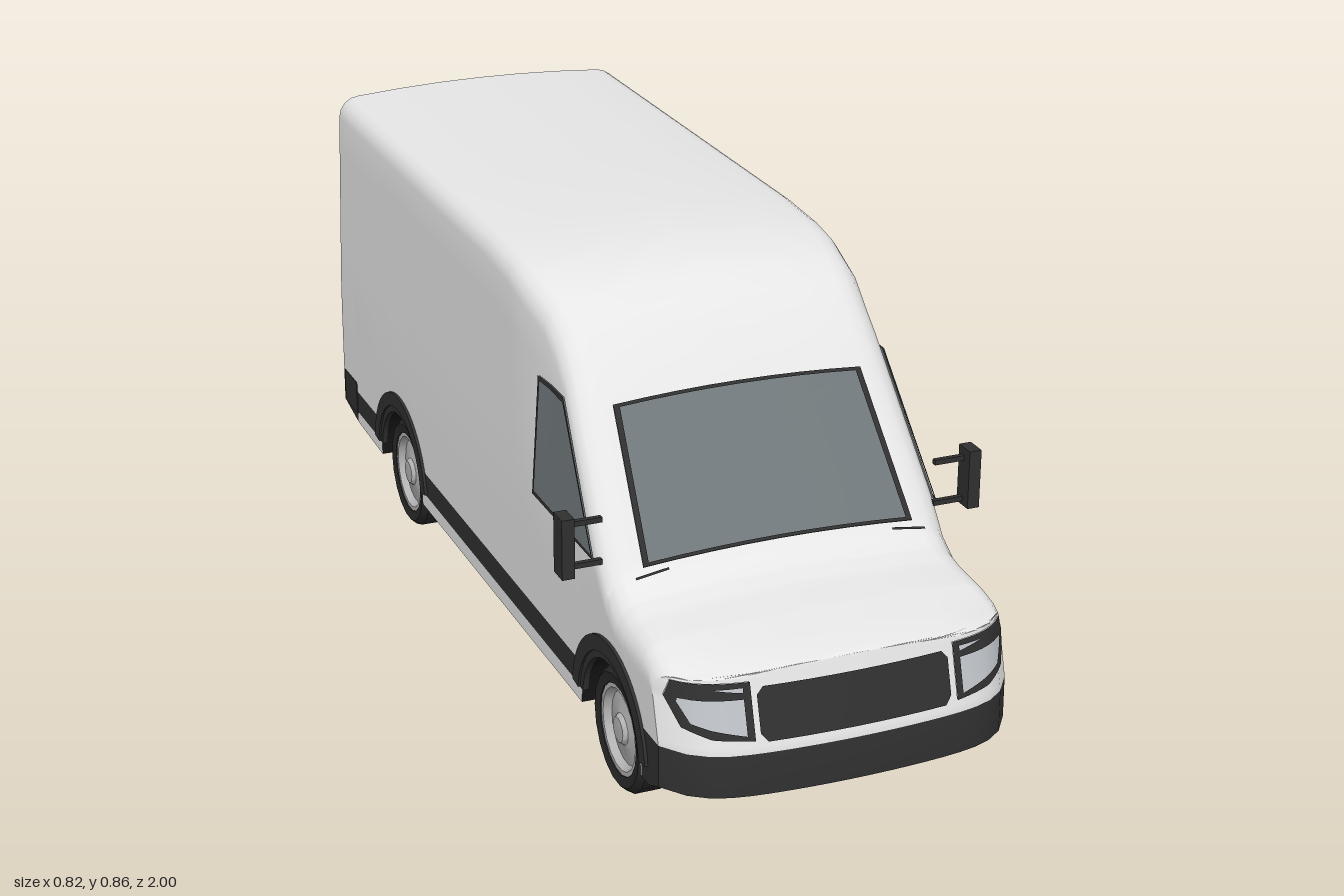
import * as THREE from 'three';
import { toCreasedNormals } from 'three/addons/utils/BufferGeometryUtils.js';

const mat = (name, color, double = true) => {
  const m = new THREE.MeshStandardMaterial({ color });
  m.name = name;
  if (double) m.side = THREE.DoubleSide;
  return m;
};

const clamp = (v) => Math.min(1, Math.max(0, v));
const ramp = (a, b, v) => clamp((v - a) / (b - a));
const lerp = (a, b, t) => a + (b - a) * t;

// Side profile of bonnet, windscreen and roof: [z, y]
const PROFILE = [[-0.985, 0.857], [0, 0.855], [0.13, 0.848], [0.2, 0.838], [0.3, 0.814], [0.345, 0.785],
  [0.4, 0.735], [0.655, 0.425], [0.7, 0.394], [0.74, 0.383], [0.95, 0.355], [1, 0.345]];
const topY = (z) => {
  const i = Math.min(PROFILE.length - 1, Math.max(1, PROFILE.findIndex((p) => p[0] >= z)));
  const [a, b] = [PROFILE[i - 1], PROFILE[i]];
  return lerp(a[1], b[1], ramp(a[0], b[0], z));
};

const CROWN = 0.012, WHEEL_R = 0.118, ARCH_R = 0.142, AXLES = [0.675, -0.555];
const cornerR = (z) => (z > 0.655 ? lerp(0.06, 0.03, ramp(0.655, 0.95, z)) : lerp(0.045, 0.06, ramp(0.1, 0.35, z)));
const halfWidth = (y, z) => 0.336 - 0.012 * ramp(0.4, 0.85, y) - 0.014 * ramp(0.2, 0.35, z) * ramp(0.42, 0.66, y);
const floorY = (z) => 0.105 + 0.02 * ramp(0.9, 1, z) + 0.025 * ramp(-0.85, -0.985, z);
const openingY = (z) => {
  for (const c of AXLES) {
    const d = Math.abs(z - c);
    if (d < ARCH_R + 0.0001) return WHEEL_R + Math.sqrt(Math.max(0, ARCH_R ** 2 - d * d));
  }
  return floorY(z);
};

// Rounds the nose in plan, leans it back, and leans the rear face
function bend(x, y, z) {
  const q = (x / 0.336) ** 2;
  const nose = ramp(0.82, 1, z) * (0.03 * q + 0.07 * q ** 4 + 0.3 * Math.max(0, y - 0.2));
  return new THREE.Vector3(x, y, z - nose + ramp(-0.9, -0.985, z) * 0.018 * y);
}

// Half cross-section, from floor centre around the side to roof centre
function section(z) {
  const fl = floorY(z), yb = openingY(z), r = cornerR(z), yt = topY(z);
  const bumper = z > 0.826 || z < -0.881;
  const low = Math.max(yb, bumper ? fl : 0.135), high = Math.max(yb, bumper ? 0.205 : 0.185);
  const shoulder = yt - CROWN - r, w = halfWidth(shoulder, z);
  const pts = [[0, fl], [0.235, fl], [0.235, yb]];
  for (const y of [yb, low]) pts.push([0.336, y]);
  for (let k = 0; k <= 8; k++) {
    const y = lerp(high, shoulder, k / 8);
    pts.push([halfWidth(y, z), y]);
  }
  for (let k = 1; k <= 4; k++) {
    const a = (k / 4) * Math.PI / 2;
    pts.push([w - r + r * Math.cos(a), shoulder + r * Math.sin(a)]);
  }
  for (const f of [0.66, 0.33, 0]) pts.push([(w - r) * f, yt - CROWN * f * f]);
  return pts;
}

function bodyGeometry() {
  const zs = [...PROFILE.map((p) => p[0]), -0.9, -0.882, -0.88, -0.3, 0.35, 0.46, 0.53, 0.6, 0.825, 0.827, 0.86, 0.9, 0.98];
  for (const c of AXLES) {
    for (let k = 0; k <= 14; k++) zs.push(c + ARCH_R * Math.cos((k / 14) * Math.PI));
    zs.push(c - ARCH_R - 0.001, c + ARCH_R + 0.001);
  }
  zs.sort((a, b) => a - b);
  const parts = [[], [], []]; // paint, trim, floor
  const group = (j) => (j < 3 ? 2 : j === 4 ? 1 : 0);
  const tri = (g, a, b, c) => {
    const area = b.clone().sub(a).cross(c.clone().sub(a)).length();
    if (area > 1e-9) for (const p of [a, b, c]) parts[g].push(p.x, p.y, p.z);
  };
  const quad = (g, a, b, c, d) => { tri(g, a, b, d); tri(g, b, c, d); };
  const rows = zs.map(section);
  for (let i = 0; i < zs.length - 1; i++) {
    for (let j = 0; j < rows[0].length - 1; j++) {
      for (const s of [1, -1]) {
        const at = (m, n) => bend(s * rows[m][n][0], rows[m][n][1], zs[m]);
        const [a, b, c, d] = [at(i, j), at(i, j + 1), at(i + 1, j + 1), at(i + 1, j)];
        if (s > 0) quad(group(j), a, b, c, d); else quad(group(j), a, d, c, b);
      }
    }
  }
  // Front and rear closing faces
  for (const e of [0, zs.length - 1]) {
    for (let j = 3; j < rows[e].length - 1; j++) {
      for (let k = 0; k < 20; k++) {
        const at = (n, t) => bend(rows[e][n][0] * (t / 10 - 1), rows[e][n][1], zs[e]);
        const [a, b, c, d] = [at(j, k), at(j, k + 1), at(j + 1, k + 1), at(j + 1, k)];
        if (e) quad(group(j), a, b, c, d); else quad(group(j), a, d, c, b);
      }
    }
  }
  const geo = new THREE.BufferGeometry();
  geo.setAttribute('position', new THREE.Float32BufferAttribute(parts.flat(), 3));
  let start = 0;
  parts.forEach((p, i) => { geo.addGroup(start, p.length / 3, i); start += p.length / 3; });
  return toCreasedNormals(geo, 0.6);
}

// Thin patch between four 2D corners, laid on a surface function
function patch(surf, a, b, c, d, n = 8) {
  const pos = [], idx = [];
  for (let i = 0; i <= n; i++) for (let j = 0; j <= n; j++) {
    const u = i / n, v = j / n;
    const p = [0, 1].map((k) => lerp(lerp(a[k], b[k], u), lerp(d[k], c[k], u), v));
    pos.push(...surf(p[0], p[1]).toArray());
    if (i < n && j < n) {
      const q = i * (n + 1) + j;
      idx.push(q, q + n + 1, q + 1, q + 1, q + n + 1, q + n + 2);
    }
  }
  const geo = new THREE.BufferGeometry();
  geo.setAttribute('position', new THREE.Float32BufferAttribute(pos, 3));
  geo.setIndex(idx);
  geo.computeVertexNormals();
  return geo;
}

export function createModel() {
  const van = new THREE.Group();
  van.name = 'van';
  const paint = mat('white paint', 0xe6e6e6, false), trim = mat('dark trim', 0x303030), under = mat('underside', 0x161616);
  const glass = mat('glass', 0x70787b), lens = mat('lamp lens', 0xbfc3c8), red = mat('red lamp', 0x8c1c1c);
  const rubber = mat('tyre rubber', 0x292929), metal = mat('wheel metal', 0xb4b4b4);
  const add = (name, geo, m, x = 0, y = 0, z = 0, parent = van) => {
    const mesh = new THREE.Mesh(geo, m);
    mesh.name = name;
    mesh.position.set(x, y, z);
    parent.add(mesh);
    return mesh;
  };
  const pane = (name, surf, pts, m, border = 0) => {
    const c = [0, 1].map((k) => pts.reduce((s, p) => s + p[k], 0) / pts.length);
    const inset = (p) => {
      const d = Math.hypot(p[0] - c[0], p[1] - c[1]);
      return [0, 1].map((k) => lerp(p[k], c[k], border / d));
    };
    pts.forEach((p, i) => {
      const q = pts[(i + 1) % pts.length];
      add(name, patch(surf(0.004), c, c, q, p), m);
      if (border) add(name + 'Frame', patch(surf(0.007), p, q, inset(q), inset(p)), trim);
    });
  };

  add('body', bodyGeometry(), [paint, trim, under]);

  // Windscreen and cowl strips
  const screen = (o) => (x, z) => {
    const y = topY(z), r = cornerR(z), w = halfWidth(y - CROWN - r, z) - r;
    return new THREE.Vector3(x, y - CROWN * (x / w) ** 2 + o * 0.7, z + o * 0.8);
  };
  pane('windscreen', screen, [[-0.265, 0.652], [0.265, 0.652], [0.246, 0.46], [-0.246, 0.46]], glass, 0.012);

  // Grille and nose surface
  const nose = (o) => (x, y) => bend(x, y, 1).add(new THREE.Vector3(0, 0, o));
  pane('grille', nose, [[-0.17, 0.225], [0.17, 0.225], [0.182, 0.24], [0.182, 0.305], [0.17, 0.318],
    [-0.17, 0.318], [-0.182, 0.305], [-0.182, 0.24]], trim);

  for (const s of [1, -1]) {
    add('cowlStrip', patch(screen(0.006), [s * 0.22, 0.66], [s * 0.285, 0.664], [s * 0.285, 0.668], [s * 0.22, 0.664]), trim);

    // Side window
    const side = (o) => (z, y) => new THREE.Vector3(s * (halfWidth(y, z) + o), y, z);
    pane('sideWindow', side, [[0.605, 0.427], [0.295, 0.427], [0.295, 0.662], [0.412, 0.662]], glass, 0.011);

    // Headlight, its frame and brow bar
    pane('headlight', nose, [[0.193, 0.23], [0.265, 0.236], [0.308, 0.252], [0.326, 0.3], [0.316, 0.329], [0.193, 0.329]]
      .map(([x, y]) => [s * x, y]), lens, 0.016);
    add('headlightBrow', patch(nose(0.007), [s * 0.195, 0.301], [s * 0.322, 0.301], [s * 0.316, 0.327], [s * 0.195, 0.31]), trim);

    // Tail lamps on the rear corners
    const rear = (o) => (x, y) => bend(x, y, -0.985).add(new THREE.Vector3(0, 0, -o));
    pane('tailLamp', rear, [[s * 0.302, 0.27], [s * 0.333, 0.27], [s * 0.332, 0.49], [s * 0.302, 0.49]], red);
    pane('reverseLamp', rear, [[s * 0.302, 0.235], [s * 0.333, 0.235], [s * 0.333, 0.268], [s * 0.302, 0.268]], lens);
    if (s > 0) pane('brakeLamp', rear, [[-0.06, 0.818], [0.06, 0.818], [0.06, 0.83], [-0.06, 0.83]], red);

    // Door mirror on two arms
    add('mirror', new THREE.BoxGeometry(0.024, 0.115, 0.042), trim, s * 0.4, 0.473, 0.62);
    for (const y of [0.51, 0.428]) add('mirrorArm', new THREE.BoxGeometry(0.064, 0.01, 0.01), trim, s * 0.36, y, 0.615);

    for (const z of AXLES) {
      // Wheel arch flare in two steps
      for (const [outer, inner, x] of [[0.178, 0.148, 0.33], [0.152, 0.134, 0.326]]) {
        const shape = new THREE.Shape();
        shape.absarc(0, 0, outer, 0.12, Math.PI - 0.12, false);
        shape.absarc(0, 0, inner, Math.PI - 0.12, 0.12, true);
        const geo = new THREE.ExtrudeGeometry(shape, { depth: 0.012, bevelEnabled: false, curveSegments: 14 });
        geo.rotateY(Math.PI / 2).translate(-0.006, 0, 0);
        add('archFlare', geo, trim, s * (x + 0.006), WHEEL_R, z);
      }
      // Wheel, turned about its axle
      const wheel = new THREE.Group();
      wheel.name = 'wheel';
      wheel.position.set(s * 0.288, WHEEL_R, z);
      wheel.rotation.z = -s * Math.PI / 2;
      const turned = (pts) => toCreasedNormals(new THREE.LatheGeometry(pts.map((p) => new THREE.Vector2(...p)), 18), 0.6);
      add('tyre', turned([[0.085, -0.037], [0.107, -0.037], [0.118, -0.025], [0.118, 0.025], [0.107, 0.037], [0.087, 0.034], [0.085, 0.02]]), rubber, 0, 0, 0, wheel);
      add('rim', turned([[0, -0.02], [0.086, -0.02], [0.088, 0.032], [0.078, 0.032], [0.07, 0.018], [0.045, 0.022],
        [0.03, 0.026], [0.024, 0.034], [0, 0.036]]), metal, 0, 0, 0, wheel);
      van.add(wheel);
    }
  }

  // Rear bumper, with chamfered ends
  const plan = new THREE.Shape([[-0.338, 0.88], [-0.338, 0.97], [-0.32, 0.995], [0, 1], [0.32, 0.995], [0.338, 0.97], [0.338, 0.88]]
    .map((p) => new THREE.Vector2(...p)));
  const bumper = new THREE.ExtrudeGeometry(plan, { depth: 0.075, bevelEnabled: false });
  bumper.rotateX(-Math.PI / 2);
  add('rearBumper', bumper, trim, 0, 0.131, 0);
  return van;
}
